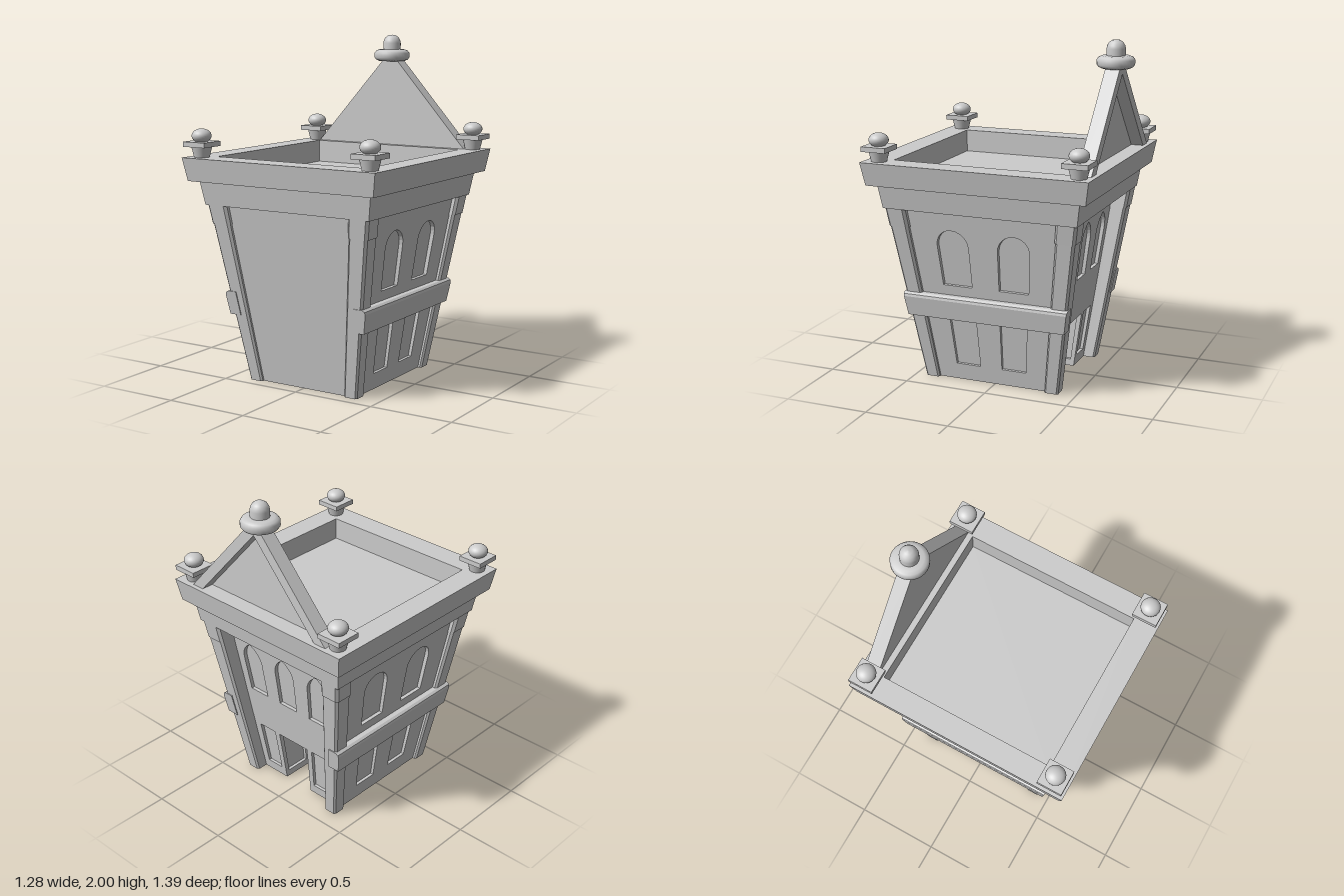
import * as THREE from 'three';

const mat = new THREE.MeshStandardMaterial({ color: 0xcccccc, side: THREE.DoubleSide });

// The whole tower flares outward with height
function flare(geo, heightAt = (x, y) => y) {
  const g = geo.index ? geo.toNonIndexed() : geo;
  const p = g.attributes.position;
  for (let i = 0; i < p.count; i++) {
    const x = p.getX(i), z = p.getZ(i), h = heightAt(x, p.getY(i));
    p.setXYZ(i, x * (1 + 0.437 * h), p.getY(i), z * (1 + 0.368 * h) + 0.018);
  }
  g.computeVertexNormals();
  return g;
}

function add(parent, name, geo) {
  const m = new THREE.Mesh(geo, mat);
  m.name = name;
  parent.add(m);
  return m;
}

function box(x0, x1, y0, y1, z0, z1) {
  return new THREE.BoxGeometry(x1 - x0, y1 - y0, z1 - z0)
    .translate((x0 + x1) / 2, (y0 + y1) / 2, (z0 + z1) / 2);
}

function polygon(points) {
  return new THREE.Shape(points.map(([x, y]) => new THREE.Vector2(x, y)));
}

function rect(cx, hw, y0, y1) {
  return polygon([[cx - hw, y0], [cx + hw, y0], [cx + hw, y1], [cx - hw, y1]]);
}

function roundArch(cx, hw, y0, spring, top) {
  const pts = [[cx - hw, y0], [cx + hw, y0]];
  for (let i = 0; i <= 12; i++) {
    const a = Math.PI * i / 12;
    pts.push([cx + hw * Math.cos(a), spring + (top - spring) * Math.sin(a)]);
  }
  return polygon(pts);
}

function pointedArch(cx, hw, y0, spring, top) {
  const s = new THREE.Shape();
  const bend = spring + (top - spring) * 0.65;
  s.moveTo(cx - hw, y0).lineTo(cx + hw, y0).lineTo(cx + hw, spring);
  s.quadraticCurveTo(cx + hw * 0.9, bend, cx, top);
  s.quadraticCurveTo(cx - hw * 0.9, bend, cx - hw, spring);
  return s;
}

const extrude = (shape, depth) =>
  new THREE.ExtrudeGeometry(shape, { depth, bevelEnabled: false, curveSegments: 6 });

// Thin wall with sunken panels; its outer face is turned by angle and placed at x, z
function wall(parent, name, outline, openings, angle, x, z) {
  const g = new THREE.Group();
  g.name = name;
  parent.add(g);
  outline.holes = openings.map(o => new THREE.Path(o.getPoints(6)));
  const place = (geo, inset) => flare(geo.translate(0, 0, -inset).rotateY(angle).translate(x, 0, z));
  add(g, 'wallFace', place(extrude(outline, 0.02), 0.02));
  openings.forEach(o => add(g, 'sunkenPanel', place(extrude(o, 0.006), 0.024)));
}

export function createModel() {
  const model = new THREE.Group();
  model.name = 'tower';
  const X = 0.345, Z = 0.395, backZ = -0.345;

  // Plain front wall, two side walls with windows and panels
  wall(model, 'frontWall', rect(0, X, 0, 1.06), [], 0, 0, Z);
  for (const s of [-1, 1]) {
    const openings = [-1, 1].flatMap(k => [
      rect(k * 0.138, 0.073, 0.1, 0.39),
      roundArch(k * 0.142, 0.074, 0.6, 0.84, 0.94),
    ]);
    wall(model, s > 0 ? 'leftWall' : 'rightWall', rect(0, Z, 0, 1.06), openings,
      s * Math.PI / 2, s * X, 0);
  }

  // Recessed back wall with doorway, side panels and three pointed windows
  const dw = 0.1, dh = 0.335, deep = 0.2;
  const backOutline = polygon([[-X, 0], [-dw, 0], [-dw, dh], [dw, dh], [dw, 0], [X, 0], [X, 1.06], [-X, 1.06]]);
  const backOpenings = [-1, 1].map(k => rect(k * 0.187, 0.054, 0.06, dh))
    .concat([-1, 0, 1].map(k => pointedArch(k * 0.189, 0.054, 0.6, 0.83, 0.94)));
  wall(model, 'backWall', backOutline, backOpenings, Math.PI, 0, backZ);

  // Doorway recess
  for (const s of [-1, 1]) {
    wall(model, 'doorJamb', rect(0, deep / 2, 0, dh), [rect(0, deep / 2 - 0.025, 0.04, dh - 0.03)],
      -s * Math.PI / 2, s * dw, backZ + deep / 2);
  }
  add(model, 'doorCeiling', flare(box(-dw, dw, dh, dh + 0.015, backZ + 0.01, backZ + deep)));
  add(model, 'doorBack', flare(box(-dw, dw, 0, dh, backZ + deep, backZ + deep + 0.015)));

  // Corner pillars with capitals
  const PX = 0.367, PZ = 0.416, w = 0.084, c = 0.01;
  for (const sx of [-1, 1]) for (const sz of [-1, 1]) {
    const h = w / 2;
    const section = polygon([[-h + c, -h], [h - c, -h], [h, -h + c], [h, h - c],
      [h - c, h], [-h + c, h], [-h, h - c], [-h, -h + c]]);
    const cx = sx * (PX - h), cz = sz * (PZ - h);
    add(model, 'pillar', flare(extrude(section, 0.96).rotateX(-Math.PI / 2).translate(cx, 0, cz)));
    const cap = extrude(section, 0.11).rotateX(-Math.PI / 2).scale(1.08, 1, 1.08);
    add(model, 'pillarCapital', flare(cap.translate(cx, 0.94, cz)));
  }

  // Side bands between the storeys, with a rounded top edge
  for (const s of [-1, 1]) {
    const profile = polygon([[0.325, 0.4], [0.388, 0.4], [0.388, 0.515],
      [0.383, 0.53], [0.37, 0.54], [0.325, 0.54]].map(([x, y]) => [s * x, y]));
    add(model, 'sideBand', flare(extrude(profile, 0.842).translate(0, 0, -0.421)));
  }

  // Stepped cornice: lower block carries the roof floor, upper ring is the parapet
  add(model, 'lowerCornice', flare(box(-0.375, 0.375, 1.05, 1.19, -0.422, 0.422)));
  const ring = polygon([[-0.405, -0.456], [0.405, -0.456], [0.405, 0.456], [-0.405, 0.456]]);
  ring.holes = [polygon([[-0.317, -0.357], [0.317, -0.357], [0.317, 0.357], [-0.317, 0.357]])];
  add(model, 'parapet', flare(
    extrude(ring, 0.135).rotateX(-Math.PI / 2).translate(0, 1.19, 0),
    (x, y) => (Math.abs(x) < 0.36 ? 1.325 : y)));

  // Back gable: flat front plate with a sloping frame behind it
  const plate = polygon([[-0.52, 1.32], [0.52, 1.32], [0.045, 1.85], [-0.045, 1.85]]);
  add(model, 'gablePlate', extrude(plate, 0.012).translate(0, 0, -0.56));
  const frame = polygon([[-0.52, 1.32], [-0.44, 1.32], [0, 1.81], [0.44, 1.32],
    [0.52, 1.32], [0.045, 1.85], [-0.045, 1.85]]);
  add(model, 'gableFrame', extrude(frame, 0.075).translate(0, 0, -0.633));

  // Gable finial
  const finial = new THREE.Group();
  finial.name = 'gableFinial';
  finial.position.set(-0.01, 0, -0.59);
  model.add(finial);
  const knob = [[0, 1.84], [0.08, 1.84], [0.098, 1.848], [0.108, 1.862], [0.108, 1.888], [0.098, 1.902],
    [0.08, 1.91], [0.053, 1.912]];
  add(finial, 'finialRing', new THREE.LatheGeometry(knob.map(p => new THREE.Vector2(...p)), 32));
  const dome = [[0.054, 1.91], [0.054, 1.95], [0.05, 1.968], [0.04, 1.985], [0.022, 1.997], [0, 2]];
  add(finial, 'finialDome', new THREE.LatheGeometry(dome.map(p => new THREE.Vector2(...p)), 32));

  // Corner finials: tapered foot, square plate, flattened ball
  for (const x of [-0.56, 0.56]) for (const z of [-0.58, 0.612]) {
    const g = new THREE.Group();
    g.name = 'cornerFinial';
    g.position.set(x, 0, z);
    model.add(g);
    add(g, 'finialFoot', new THREE.CylinderGeometry(0.06, 0.044, 0.065, 24).translate(0, 1.355, 0));
    add(g, 'finialPlate', box(-0.075, 0.075, 1.386, 1.415, -0.075, 0.075));
    add(g, 'finialBall', new THREE.SphereGeometry(0.057, 24, 16).scale(1, 0.72, 1).translate(0, 1.447, 0));
  }
  return model;
}
